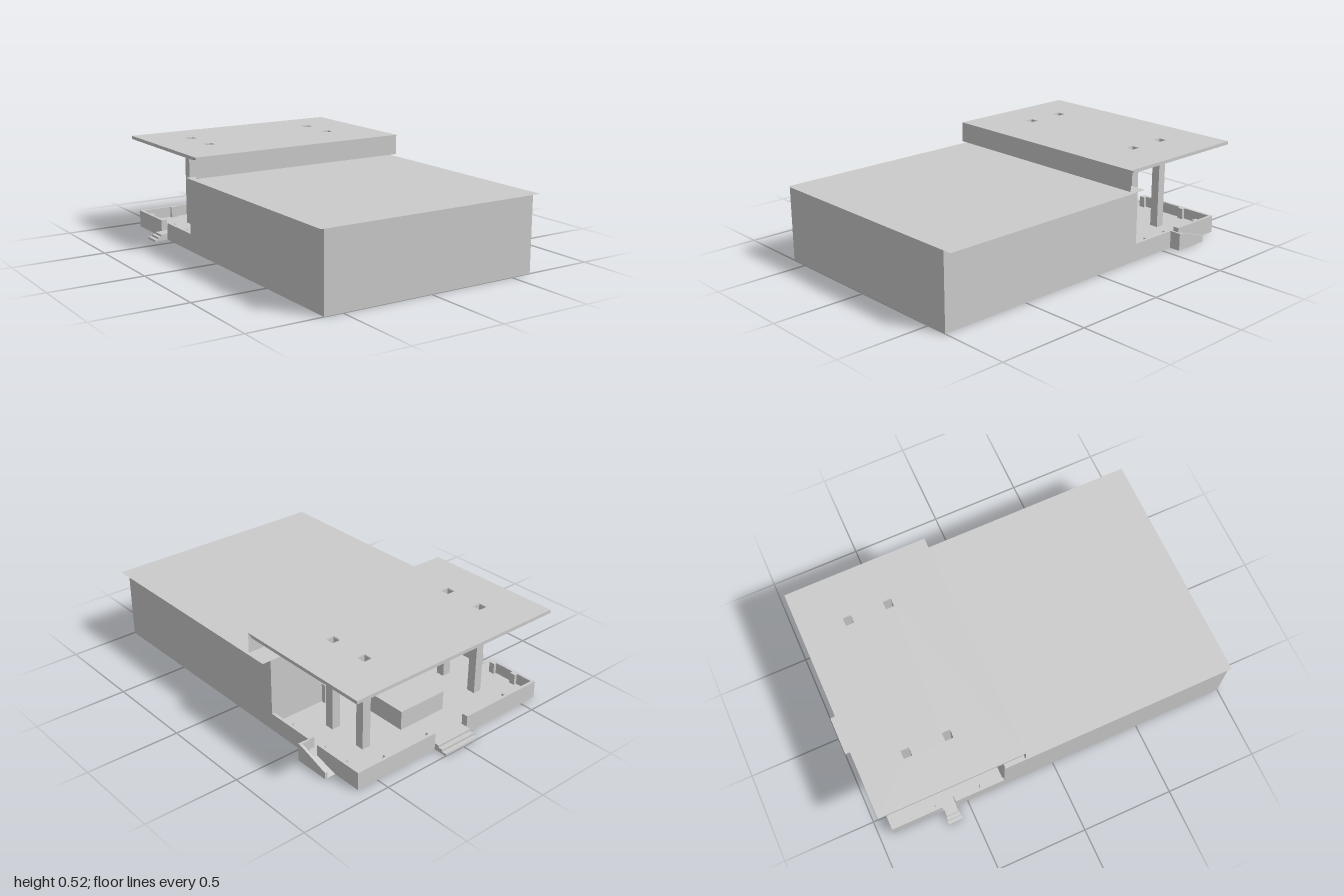
import * as THREE from 'three';

const material = new THREE.MeshStandardMaterial({ color: 0xcccccc, flatShading: true, side: THREE.DoubleSide });

export function createModel() {
  const model = new THREE.Group();

  const add = (name, geometry) => {
    const mesh = new THREE.Mesh(geometry, material);
    mesh.name = name;
    model.add(mesh);
    return mesh;
  };

  // Box given by its limits on each axis
  const block = (name, x0, x1, y0, y1, z0, z1) => {
    const g = new THREE.BoxGeometry(x1 - x0, y1 - y0, z1 - z0);
    g.translate((x0 + x1) / 2, (y0 + y1) / 2, (z0 + z1) / 2);
    return add(name, g);
  };

  const rectangle = (Type, x0, x1, y0, y1) => new Type([
    new THREE.Vector2(x0, y0), new THREE.Vector2(x1, y0),
    new THREE.Vector2(x1, y1), new THREE.Vector2(x0, y1)]);

  // Horizontal slab with rectangular holes, each [x0, x1, z0, z1]
  const slab = (name, [x0, x1, z0, z1], y0, y1, holes = []) => {
    const shape = rectangle(THREE.Shape, x0, x1, -z1, -z0);
    shape.holes = holes.map(([a, b, c, d]) => rectangle(THREE.Path, a, b, -d, -c));
    const g = new THREE.ExtrudeGeometry(shape, { depth: y1 - y0, bevelEnabled: false });
    g.rotateX(-Math.PI / 2);
    g.translate(0, y0, 0);
    return add(name, g);
  };

  const L = -0.6, R = 0.62, back = -0.925, hallBack = -0.285, front = 1;
  const roofL = -0.617, roofR = 0.667;
  const floorY = 0.035, parapetY = 0.095, roofY = 0.4, t = 0.004, inset = 0.002;

  // Open-ended square tube
  const tube = (name, [a, b, c, d], top) => slab(name, [a, b, c, d], floorY - 0.003, top,
    [[a + inset, b - inset, c + inset, d - inset]]);

  // Hollow block with a lid, open underneath
  const hollowBlock = (name, area, top) => {
    tube(name, area, top - 0.002);
    slab(name + 'Top', area, top - 0.002, top);
  };

  // Hall: open underneath, with a paper-thin flat roof overhanging the sides
  block('hallFrontWall', L, R, 0, roofY, front - t, front);
  block('hallLeftWall', R - t, R, 0, roofY, hallBack, front);
  block('hallRightWall', L, L + t, 0, roofY, hallBack, front);
  const roof = new THREE.PlaneGeometry(roofR - roofL, front - hallBack);
  roof.rotateX(-Math.PI / 2);
  roof.translate((roofL + roofR) / 2, roofY, (front + hallBack) / 2);
  add('hallRoof', roof);

  // Hall rear wall with a wide doorway
  const doorL = -0.13, doorR = 0.25, doorTop = 0.2;
  block('hallRearWall', L, doorL, floorY, roofY, hallBack, hallBack + t);
  block('hallRearWall', doorR, R, floorY, roofY, hallBack, hallBack + t);
  block('doorLintel', doorL, doorR, doorTop, roofY, hallBack, hallBack + t);

  // Hollow columns pass through the terrace floor and the canopy
  const half = 0.024;
  const columns = [];
  for (const x of [-0.372, 0.4]) for (const z of [-0.712, -0.49]) {
    columns.push([x - half, x + half, z - half, z + half]);
  }
  columns.forEach((c) => tube('column', c, 0.522));

  // Hollow pedestal, door piers and plinth
  const pedestal = [-0.12, 0.17, -0.735, -0.465];
  const doorPiers = [[-0.06, 0, -0.31, -0.26], [0.24, 0.3, -0.31, -0.26]];
  const sidePlinth = [0.4, 0.5, -0.16, -0.06];
  hollowBlock('pedestal', pedestal, 0.14);
  doorPiers.forEach((area) => hollowBlock('doorPier', area, 0.14));
  hollowBlock('sidePlinth', sidePlinth, 0.14);
  block('innerPlinth', -0.06, 0.14, floorY - 0.005, 0.09, -0.17, 0.03);

  // Floors, open below the hollow parts
  slab('terraceFloor', [L, R, back, 0.1], floorY - 0.003, floorY,
    [...columns, pedestal, ...doorPiers, sidePlinth]);
  slab('innerFloor', [-0.35, 0.445, 0.17, 0.7], floorY - 0.003, floorY);
  block('floorBridge', 0.0, 0.1, floorY - 0.003, floorY, 0.1, 0.17);
  block('innerPartition', -0.35, 0.0, floorY, 0.24, 0.17, 0.17 + t);
  block('innerPartition', 0.1, 0.445, floorY, 0.24, 0.17, 0.17 + t);

  // Terrace parapet, low at the entrances
  const w = 0.016;
  const alongZ = (x, z0, z1, top) => block('parapet', x, x + w, 0, top, z0, z1);
  const alongX = (x0, x1, top) => block('parapet', x0, x1, 0, top, back, back + w);
  const stepL = -0.097, stepR = 0.123;
  alongX(L, stepL, parapetY);
  alongX(stepL, stepR, floorY);
  alongX(stepR, R, parapetY);
  alongZ(L, back, -0.64, parapetY);
  alongZ(L, -0.64, -0.565, floorY);
  alongZ(L, -0.565, hallBack, parapetY);
  alongZ(R - w, back, -0.63, parapetY);
  alongZ(R - w, -0.63, -0.57, floorY);
  alongZ(R - w, -0.57, hallBack, parapetY);

  // Small piers along the inside of the parapet
  const pier = (x, z) => block('parapetPier', x - 0.016, x + 0.016, floorY, parapetY, z - 0.016, z + 0.016);
  for (const x of [-0.4, stepL - 0.016, stepR + 0.016, 0.42]) pier(x, back + 0.018);
  for (const z of [-0.8, -0.656, -0.549, -0.4]) pier(L + 0.018, z);
  for (const z of [-0.8, -0.646, -0.554, -0.4]) pier(R - 0.018, z);

  // Rear and side steps, the side flight widening outward
  for (let i = 0; i < 3; i++) {
    const top = floorY * (3 - i) / 3;
    block('rearStep', stepL, stepR, 0, top, back - 0.025 * (i + 1), back - 0.025 * i);
    const spread = 0.034 + 0.004 * i;
    const x = L - 0.02 * i - (i ? 0.02 : 0);
    block('sideStep', L - 0.02 * (i + 2), x, 0, top, -0.602 - spread, -0.602 + spread);
  }

  // Side ramp with a sloping guard wall, profile in (z, y)
  const ramp = (name, x0, x1, points) => {
    const shape = new THREE.Shape(points.map(([z, y]) => new THREE.Vector2(-z, y)));
    const g = new THREE.ExtrudeGeometry(shape, { depth: x1 - x0, bevelEnabled: false });
    g.rotateY(Math.PI / 2);
    g.translate(x0, 0, 0);
    add(name, g);
  };
  ramp('ramp', R, 0.668, [[-0.57, 0], [-0.765, 0], [-0.63, floorY], [-0.57, floorY]]);
  ramp('rampGuard', 0.668, 0.682,
    [[-0.57, 0], [-0.765, 0], [-0.765, 0.035], [-0.6, 0.09], [-0.57, parapetY]]);
  block('rampEndWall', R, 0.682, 0, parapetY, -0.578, -0.566);

  // Canopy slab with an undercut front edge
  const canopy = slab('canopy', [roofL, roofR, -0.963, -0.175], 0.507, 0.525, columns);
  const p = canopy.geometry.attributes.position;
  for (let i = 0; i < p.count; i++) {
    if (p.getZ(i) > -0.18 && p.getY(i) < 0.51) p.setZ(i, -0.205);
  }
  canopy.geometry.computeVertexNormals();

  // Paper-thin fascia hanging from the canopy's front edge
  const fascia = new THREE.PlaneGeometry(roofR - roofL, 0.112);
  fascia.translate((roofL + roofR) / 2, 0.469, -0.175);
  add('canopyFascia', fascia);

  return model;
}
